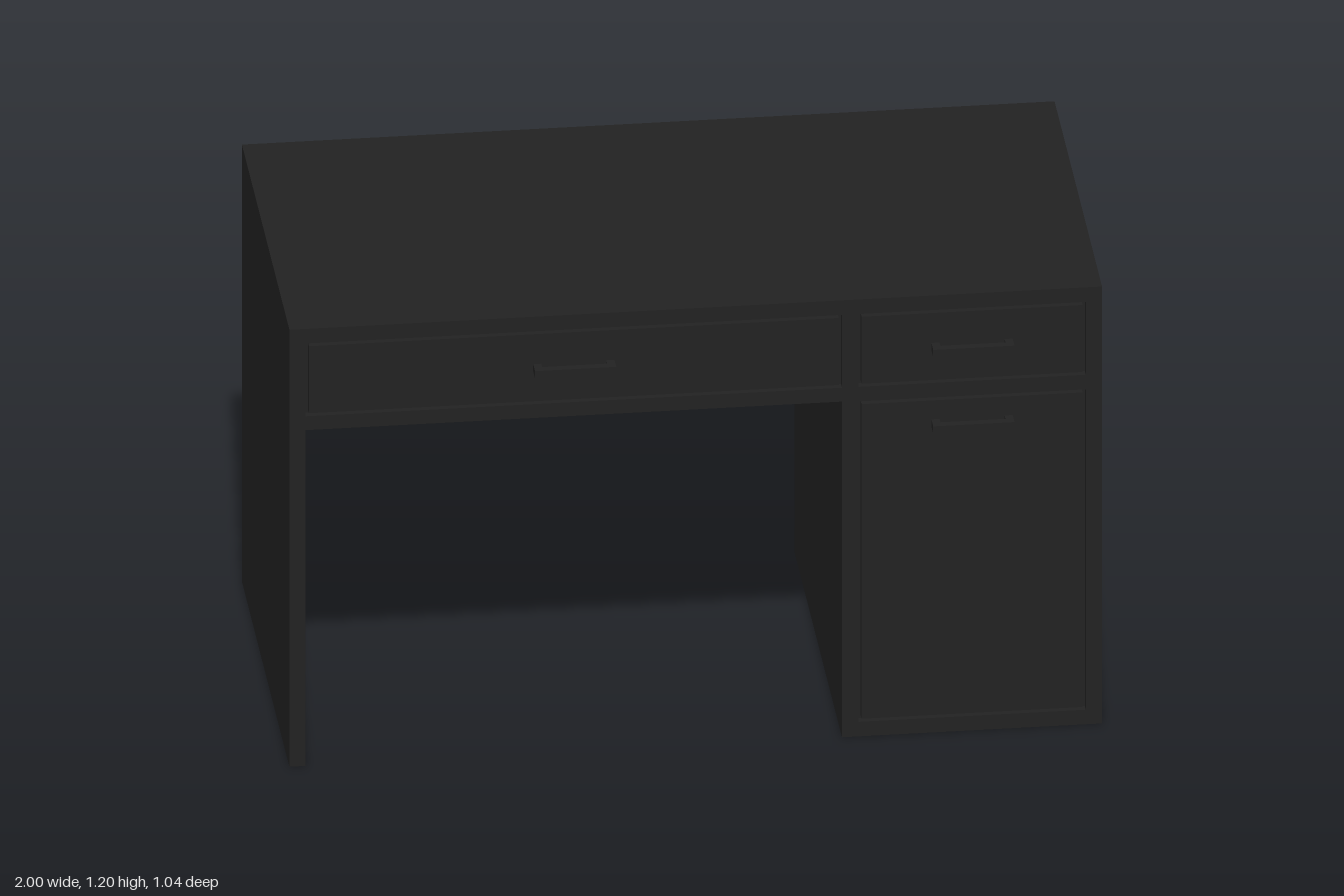
import * as THREE from 'three';

const BACK = -0.519, FRONT = 0.481, REVEAL = 0.02, GAP = 0.008;

// Panel openings in the face frame: x0, y0, x1, y1, then handle centre x, y
const PANELS = [
  { name: 'wideDrawer', rect: [-0.96, 0.96, 0.36, 1.16], handle: [-0.3, 1.06] },
  { name: 'smallDrawer', rect: [0.4, 0.96, 0.96, 1.16], handle: [0.68, 1.06] },
  { name: 'cabinetDoor', rect: [0.4, 0.04, 0.96, 0.92], handle: [0.68, 0.85] },
];

// Desk outline seen from the front, with the kneehole cut out
function deskOutline() {
  return new THREE.Shape([
    [-1, 0], [-0.96, 0], [-0.96, 0.922], [0.36, 0.922],
    [0.36, 0], [1, 0], [1, 1.2], [-1, 1.2],
  ].map(([x, y]) => new THREE.Vector2(x, y)));
}

export function createModel() {
  const desk = new THREE.Group();
  desk.name = 'desk';
  const black = new THREE.MeshStandardMaterial({ color: 0x222222 });
  black.name = 'black lacquer';

  const add = (parent, name, geometry, x = 0, y = 0, z = 0) => {
    const mesh = new THREE.Mesh(geometry, black);
    mesh.name = name;
    mesh.position.set(x, y, z);
    parent.add(mesh);
  };
  const extrude = (shape, depth) =>
    new THREE.ExtrudeGeometry(shape, { depth, bevelEnabled: false });

  // Carcass: top, side panel, apron and pedestal
  add(desk, 'carcass', extrude(deskOutline(), FRONT - REVEAL - BACK), 0, 0, BACK);

  // Face frame with an opening for each drawer and the door
  const frame = deskOutline();
  for (const { rect: [x0, y0, x1, y1] } of PANELS) {
    frame.holes.push(new THREE.Path([
      [x0, y0], [x0, y1], [x1, y1], [x1, y0],
    ].map(([x, y]) => new THREE.Vector2(x, y))));
  }
  add(desk, 'faceFrame', extrude(frame, REVEAL), 0, 0, FRONT - REVEAL);

  // Flush fronts, each with a square bar handle on two posts
  for (const { name, rect: [x0, y0, x1, y1], handle: [hx, hy] } of PANELS) {
    const unit = new THREE.Group();
    unit.name = name;
    add(unit, name + 'Front',
      new THREE.BoxGeometry(x1 - x0 - 2 * GAP, y1 - y0 - 2 * GAP, REVEAL),
      (x0 + x1) / 2, (y0 + y1) / 2, FRONT - REVEAL / 2);
    add(unit, 'handleBar', new THREE.BoxGeometry(0.2, 0.02, 0.02), hx, hy, FRONT + 0.028);
    for (const side of [-1, 1]) {
      add(unit, 'handlePost', new THREE.BoxGeometry(0.02, 0.02, 0.018),
        hx + side * 0.09, hy, FRONT + 0.009);
    }
    desk.add(unit);
  }
  return desk;
}
